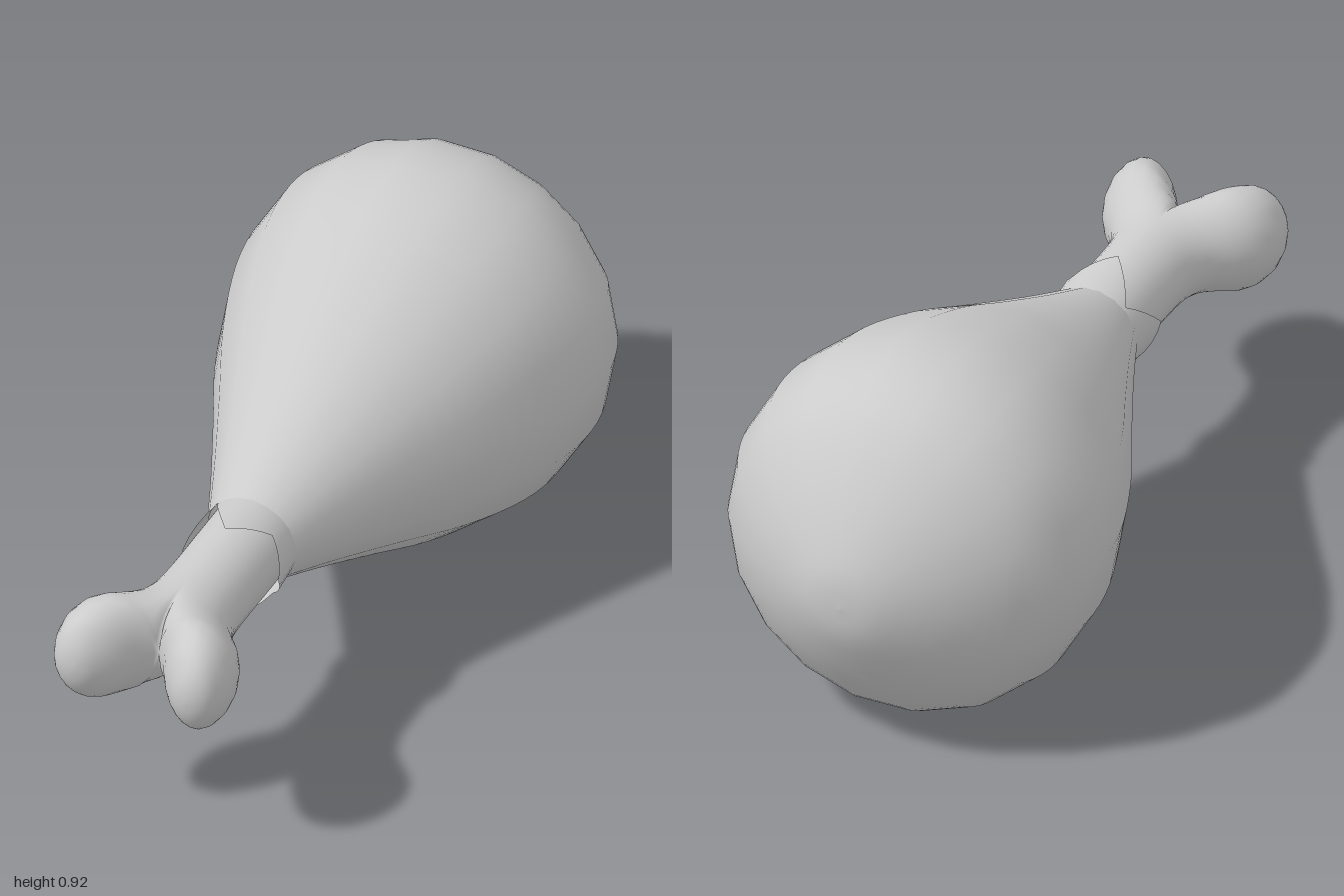
import * as THREE from 'three';
import { mergeVertices } from 'three/addons/utils/BufferGeometryUtils.js';

const CENTER_Y = 0.463;
const material = new THREE.MeshStandardMaterial({ color: 0xcccccc, side: THREE.DoubleSide });

function part(name, geometry) {
  const mesh = new THREE.Mesh(geometry, material);
  mesh.name = name;
  mesh.position.y = CENTER_Y;
  return mesh;
}

function surface(positions, indices) {
  let g = new THREE.BufferGeometry();
  g.setAttribute('position', new THREE.Float32BufferAttribute(positions, 3));
  g.setIndex(indices);
  g = mergeVertices(g, 1e-4);
  g.computeVertexNormals();
  return g;
}

// Pear-shaped meat turned around the z axis, 18 sides
function meatGeometry() {
  const profile = new THREE.SplineCurve([
    [0, -0.995], [0.1, -0.98], [0.25, -0.9], [0.375, -0.795], [0.44, -0.69], [0.465, -0.56],
    [0.445, -0.4], [0.375, -0.2], [0.28, 0], [0.187, 0.2], [0.118, 0.36],
  ].map(([r, z]) => new THREE.Vector2(r, z))).getPoints(40);
  profile[0].x = 0;
  return new THREE.LatheGeometry(profile, 18, Math.PI / 2).rotateX(Math.PI / 2);
}

// Shaft that forks into two knobs: each half is lofted between an outer and
// an inner edge, the section changing from half a disc to a full ellipse
function boneGeometry() {
  // outer x, outer z, inner x, inner z, half height, fork blend
  const sections = [
    [0.108, 0.3, 0, 0.3, 0.108, 0],
    [0.108, 0.45, 0, 0.45, 0.108, 0],
    [0.108, 0.6, 0, 0.6, 0.108, 0],
    [0.115, 0.68, 0, 0.7, 0.11, 0],
    [0.14, 0.74, 0, 0.765, 0.116, 0.1],
    [0.18, 0.79, 0, 0.82, 0.126, 0.45],
    [0.205, 0.835, 0, 0.843, 0.132, 0.85],
    [0.217, 0.88, 0, 0.85, 0.134, 1],
    [0.216, 0.92, 0.025, 0.88, 0.13, 1],
    [0.206, 0.957, 0.055, 0.93, 0.112, 1],
    [0.19, 0.98, 0.085, 0.965, 0.08, 1],
    [0.167, 0.993, 0.112, 0.988, 0.042, 1],
    [0.14, 0.997, 0.14, 0.997, 0, 1],
  ];
  const curve = (a, b, c) => new THREE.CatmullRomCurve3(
    sections.map((s) => new THREE.Vector3(s[a], s[b], s[c])), false, 'catmullrom', 0.5);
  const outer = curve(0, 1, 4), inner = curve(2, 3, 5);
  const rings = 36, steps = 10, positions = [], indices = [];
  for (const sx of [1, -1]) for (const sy of [1, -1]) {
    const base = positions.length / 3;
    for (let i = 0; i <= rings; i++) {
      const o = outer.getPoint(i / rings), n = inner.getPoint(i / rings);
      const blend = THREE.MathUtils.clamp(n.z, 0, 1), inX = Math.max(n.x, 0);
      const stretch = sx < 0 ? 1 + 0.08 * blend : 1;
      for (let j = 0; j <= steps; j++) {
        const u = (1 - Math.cos(Math.PI * j / steps)) / 2;
        const half = Math.sqrt(Math.max(0, 1 - (1 - u) ** 2));
        const full = 2 * Math.sqrt(Math.max(0, u * (1 - u)));
        const h = Math.max(o.z, 0) * THREE.MathUtils.lerp(half, full, blend);
        positions.push(sx * stretch * THREE.MathUtils.lerp(o.x, inX, u), sy * h,
          THREE.MathUtils.lerp(o.y, n.y, u));
        if (i < rings && j < steps) {
          const a = base + i * (steps + 1) + j, b = a + steps + 1;
          if (sx * sy > 0) indices.push(a, a + 1, b, b, a + 1, b + 1);
          else indices.push(a, b, a + 1, b, b + 1, a + 1);
        }
      }
    }
  }
  return surface(positions, indices);
}

// Thin torn cuff of skin with four pointed flaps
function cuffGeometry() {
  const ends = [0.475, 0.425, 0.5, 0.37, 0.47, 0.42, 0.515, 0.42];
  const sides = 32, rows = 4, positions = [], indices = [];
  for (let i = 0; i <= sides; i++) {
    const k = (i % sides) / sides * ends.length, f = Math.floor(k);
    const end = THREE.MathUtils.lerp(ends[f], ends[(f + 1) % ends.length], k - f);
    const angle = i / sides * Math.PI * 2;
    for (let j = 0; j <= rows; j++) {
      const z = THREE.MathUtils.lerp(0.355, end, j / rows);
      const r = 0.117 + 0.09 * (z - 0.355);
      positions.push(r * Math.cos(angle), r * Math.sin(angle), z);
      if (i < sides && j < rows) {
        const a = i * (rows + 1) + j, b = a + rows + 1;
        indices.push(a, b, a + 1, b, b + 1, a + 1);
      }
    }
  }
  return surface(positions, indices);
}

export function createModel() {
  const group = new THREE.Group();
  group.name = 'drumstick';
  group.add(part('meat', meatGeometry()), part('bone', boneGeometry()), part('skinCuff', cuffGeometry()));
  return group;
}
